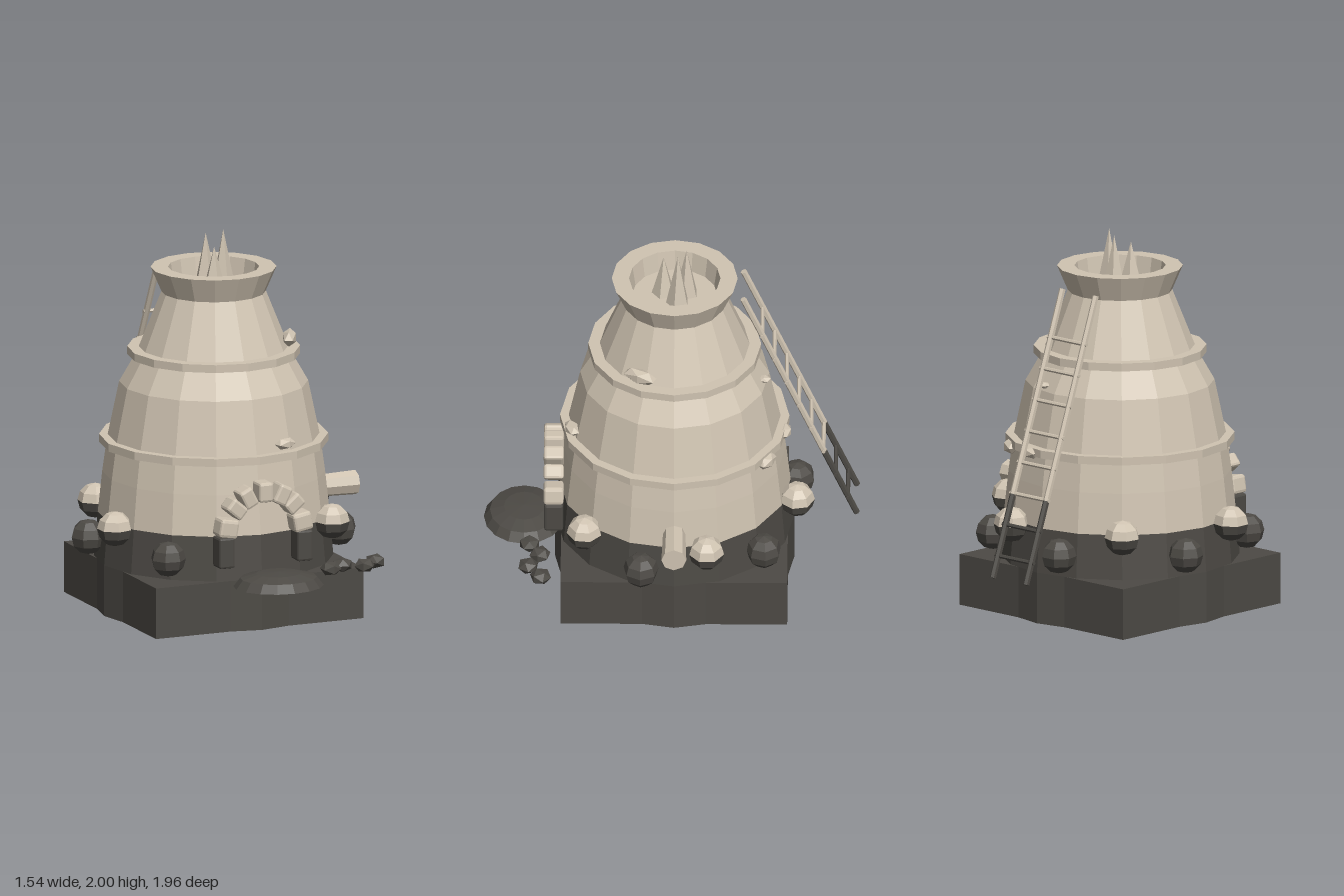
import * as THREE from 'three';
import { RoundedBoxGeometry } from 'three/addons/geometries/RoundedBoxGeometry.js';

const CX = -0.037, CZ = -0.018, SIDES = 16;

export function createModel() {
  const model = new THREE.Group();
  const clay = new THREE.MeshStandardMaterial({ color: 0xd0c4b2, flatShading: true });
  clay.name = 'pale clay';
  const soot = new THREE.MeshStandardMaterial({ color: 0x4d4a45, flatShading: true });
  soot.name = 'dark stone';

  const add = (name, geo, mat, x = 0, y = 0, z = 0, parent = model) => {
    const mesh = new THREE.Mesh(geo, mat);
    mesh.name = name;
    mesh.position.set(x, y, z);
    parent.add(mesh);
    return mesh;
  };
  const lathe = (pts) => new THREE.LatheGeometry(pts.map(([r, y]) => new THREE.Vector2(r, y)), SIDES);

  // Rod between two points
  const rod = (name, a, b, r, mat, parent) => {
    const dir = b.clone().sub(a);
    const mid = a.clone().add(b).multiplyScalar(0.5);
    const m = add(name, new THREE.CylinderGeometry(r, r, dir.length(), 6), mat, mid.x, mid.y, mid.z, parent);
    m.quaternion.setFromUnitVectors(new THREE.Vector3(0, 1, 0), dir.normalize());
    return m;
  };

  // Colours faces above height y pale and those below dark
  const twoTone = (geometry, y) => {
    const geo = geometry.toNonIndexed();
    const p = geo.attributes.position;
    const upper = [], lower = [];
    for (let i = 0; i < p.count; i += 3) {
      const mean = (p.getY(i) + p.getY(i + 1) + p.getY(i + 2)) / 3;
      (mean > y ? upper : lower).push(i, i + 1, i + 2);
    }
    geo.setIndex([...upper, ...lower]);
    geo.addGroup(0, upper.length, 0);
    geo.addGroup(upper.length, lower.length, 1);
    return geo;
  };

  // Square base and kiln body
  add('baseBlock', new THREE.BoxGeometry(1.18, 0.27, 1.18), soot, CX, 0.135, CZ);
  add('lowerBody', lathe([[0, 0], [0.623, 0], [0.623, 0.27], [0.603, 0.504]]), soot, CX, 0, CZ);
  add('upperBody', lathe([
    [0.603, 0.504], [0.58, 0.72], [0.555, 0.9], [0.492, 1.2], [0.4, 1.36], [0.272, 1.68],
    [0.328, 1.81], [0.238, 1.81], [0.222, 1.7], [0, 1.7],
  ]), clay, CX, 0, CZ);

  // Hoops around the body
  for (const [y, r, inner] of [[0.897, 0.597, 0.53], [1.365, 0.45, 0.37]]) {
    add('hoop', lathe([[inner, y - 0.021], [r, y - 0.021], [r, y + 0.021], [inner, y + 0.021]]), clay, CX, 0, CZ);
  }

  // Flame spikes in the chimney
  for (const [x, z, top] of [[-0.055, -0.08, 1.98], [0.025, -0.035, 2], [-0.06, 0.04, 1.93]]) {
    const h = top - 1.7;
    add('flameSpike', new THREE.ConeGeometry(0.062, h, 5), clay, x, 1.7 + h / 2, z);
  }

  // Boulders around the foot, alternating high and low, leaving the door free
  for (let i = 0; i < 12; i++) {
    const a = THREE.MathUtils.degToRad(15 + i * 30);
    if (Math.cos(a) > 0.9) continue;
    const high = i % 2 === 1;
    const y = high ? 0.505 : 0.39;
    const m = add('boulder', twoTone(new THREE.SphereGeometry(0.093, 7, 6), high ? 0 : 1), [clay, soot],
      CX + Math.sin(a) * 0.66, y, CZ + Math.cos(a) * 0.66);
    m.rotation.y = a;
  }

  // Door arch
  const arch = new THREE.Group();
  arch.name = 'doorArch';
  arch.position.set(-0.035, 0.53, 0.61);
  model.add(arch);
  for (const s of [-1, 1]) {
    add('archPost', new RoundedBoxGeometry(0.088, 0.165, 0.1, 1, 0.012), soot, s * 0.222, -0.09, 0, arch);
  }
  for (const deg of [-80, -50, -27, 0, 27, 50, 80]) {
    const a = THREE.MathUtils.degToRad(deg);
    const stone = add('archStone', new RoundedBoxGeometry(0.078, 0.105, 0.105, 1, 0.014), clay,
      Math.sin(a) * 0.213, Math.cos(a) * 0.213, 0, arch);
    stone.rotation.z = -a;
    if (Math.abs(deg) === 80) stone.scale.x = 1.25;
  }

  // Ash heap before the door
  add('ashHeap', lathe([[0, 0], [1, 0], [0.85, 0.6], [0.5, 0.9], [0, 1]]), soot, -0.015, 0.27, 0.765)
    .scale.set(0.24, 0.075, 0.21);

  // Coal lumps
  [[0.295, 0.735], [0.385, 0.68], [0.485, 0.74], [0.575, 0.675]].forEach(([x, z], i) => {
    const m = add('coalLump', new THREE.IcosahedronGeometry(0.057, 0), soot, x, 0.325, z);
    m.scale.y = 0.7;
    m.rotation.y = i * 1.3;
  });

  // Side spout
  add('spout', new THREE.CylinderGeometry(0.056, 0.065, 0.32, 8), clay, 0.61, 0.58, -0.02)
    .rotation.z = Math.PI / 2;

  // Leaning ladder, dark at the foot
  const ladder = new THREE.Group();
  ladder.name = 'ladder';
  model.add(ladder);
  const railAt = (side, t) => new THREE.Vector3(
    -0.15 + 0.065 * t + side * 0.12, 0.295 + 1.435 * t, -0.965 + 0.59 * t);
  for (const s of [-1, 1]) {
    rod('railFoot', railAt(s, 0), railAt(s, 0.29), 0.017, soot, ladder);
    rod('rail', railAt(s, 0.29), railAt(s, 1), 0.017, clay, ladder);
  }
  for (let i = 0; i < 8; i++) {
    const t = 0.077 + 0.108 * i;
    const a = railAt(-1, t), b = railAt(1, t);
    a.x -= 0.02;
    b.x += 0.02;
    rod('rung', a, b, 0.011, t < 0.28 ? soot : clay, ladder);
  }

  // Chipped flakes on the wall: x, y, z, half width, half height
  for (const [x, y, z, w, h] of [
    [0.315, 1.435, 0.16, 0.1, 0.045], [0.135, 0.96, 0.515, 0.065, 0.032],
    [0.29, 0.87, -0.5, 0.07, 0.04], [0.06, 0.89, -0.59, 0.06, 0.035], [0.06, 1.23, -0.485, 0.03, 0.018],
  ]) {
    const m = add('clayFlake', new THREE.IcosahedronGeometry(1, 0), clay, x, y, z);
    m.scale.set(w, h, 0.04);
    m.rotation.y = Math.atan2(x - CX, z - CZ);
  }
  return model;
}
